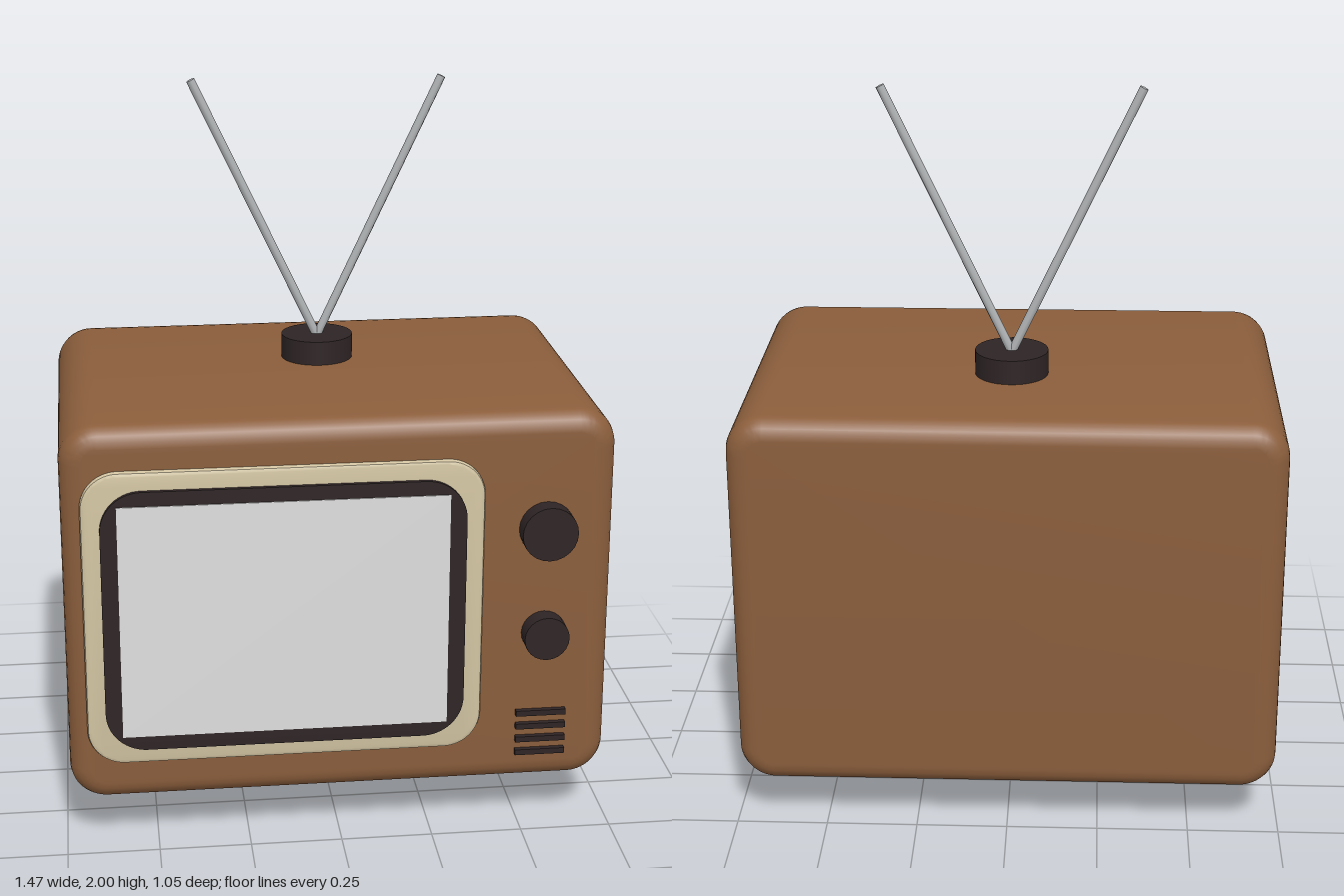
import * as THREE from 'three';
import { toCreasedNormals } from 'three/addons/utils/BufferGeometryUtils.js';

const mat = (name, color) => {
  const m = new THREE.MeshStandardMaterial({ color });
  m.name = name;
  return m;
};

// Rounded rectangle slab facing +z, given by its outer limits
function slab(x0, x1, y0, y1, z0, z1, r, bevel, steps) {
  const s = new THREE.Shape();
  s.moveTo(x0 + r, y0);
  s.lineTo(x1 - r, y0);
  s.absarc(x1 - r, y0 + r, r, -Math.PI / 2, 0);
  s.lineTo(x1, y1 - r);
  s.absarc(x1 - r, y1 - r, r, 0, Math.PI / 2);
  s.lineTo(x0 + r, y1);
  s.absarc(x0 + r, y1 - r, r, Math.PI / 2, Math.PI);
  s.lineTo(x0, y0 + r);
  s.absarc(x0 + r, y0 + r, r, Math.PI, Math.PI * 1.5);
  const g = new THREE.ExtrudeGeometry(s, {
    depth: z1 - z0 - 2 * bevel, curveSegments: 7,
    bevelEnabled: bevel > 0, bevelThickness: bevel, bevelSize: bevel,
    bevelOffset: -bevel, bevelSegments: steps,
  });
  g.translate(0, 0, z0 + bevel);
  return toCreasedNormals(g, 0.6);
}

export function createModel() {
  const wood = mat('brown wood', 0x8b5e3c);
  const cream = mat('cream trim', 0xd2c4a2);
  const dark = mat('dark plastic', 0x2e2425);
  const glass = mat('pale screen', 0xdedede);
  const metal = mat('antenna metal', 0xb0b3b5);

  const model = new THREE.Group();
  model.name = 'television';
  const add = (name, geometry, material, x = 0, y = 0, z = 0) => {
    const m = new THREE.Mesh(geometry, material);
    m.name = name;
    m.position.set(x, y, z);
    model.add(m);
    return m;
  };

  // Cabinet and the stacked screen surround
  add('cabinet', slab(-0.735, 0.735, 0.14, 1.205, -0.527, 0.475, 0.1, 0.055, 5), wood);
  add('screenTrim', slab(-0.685, 0.38, 0.26, 1.09, 0.465, 0.491, 0.1, 0.01, 2), cream);
  add('screenFrame', slab(-0.635, 0.33, 0.305, 1.04, 0.48, 0.503, 0.11, 0, 1), dark);
  add('screen', new THREE.BoxGeometry(0.875, 0.655, 0.006), glass, -0.153, 0.673, 0.503);

  // Control knobs
  for (const [name, y, r] of [['upperKnob', 0.885, 0.075], ['lowerKnob', 0.585, 0.061]]) {
    add(name, new THREE.CylinderGeometry(r, r, 0.06, 24), dark, 0.55, y, 0.497)
      .rotation.x = Math.PI / 2;
  }

  // Speaker slots
  for (let i = 0; i < 4; i++) {
    add('speakerSlot', new THREE.BoxGeometry(0.137, 0.016, 0.03), dark, 0.548, 0.232 + i * 0.039, 0.475);
  }

  // Two legs with chamfered feet
  const foot = new THREE.Shape([
    [-0.04, 0.16], [-0.04, 0.02], [-0.022, 0], [0.022, 0], [0.04, 0.02], [0.04, 0.16],
  ].map(([a, b]) => new THREE.Vector2(a, b)));
  const legGeo = new THREE.ExtrudeGeometry(foot, { depth: 0.084, bevelEnabled: false });
  legGeo.translate(0, 0, -0.042).rotateY(Math.PI / 2);
  for (const s of [-1, 1]) add(s > 0 ? 'leftLeg' : 'rightLeg', legGeo, dark, s * 0.535, 0, -0.022);

  // Antenna base and its pair of rods
  const az = -0.125;
  add('antennaBase', new THREE.CylinderGeometry(0.1, 0.1, 0.075, 32), dark, 0, 1.2345, az);
  for (const s of [-1, 1]) {
    const a = new THREE.Vector3(0, 1.265, az);
    const b = new THREE.Vector3(s * 0.345, 1.995, az);
    const dir = b.clone().sub(a);
    const rod = add(s > 0 ? 'leftRod' : 'rightRod',
      new THREE.CylinderGeometry(0.012, 0.012, dir.length(), 8), metal);
    rod.position.copy(a).add(b).multiplyScalar(0.5);
    rod.quaternion.setFromUnitVectors(new THREE.Vector3(0, 1, 0), dir.normalize());
  }
  return model;
}
